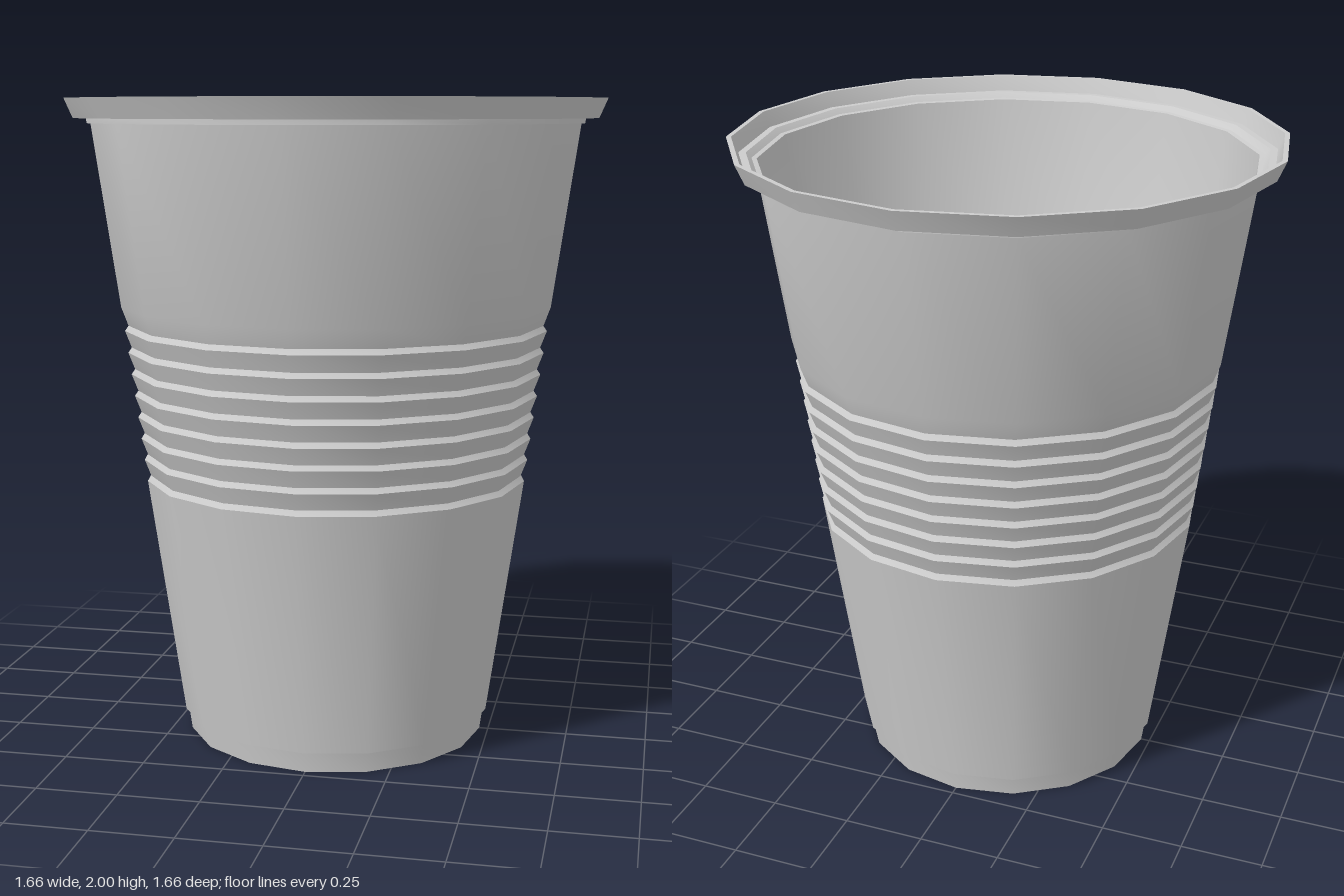
import * as THREE from 'three';
import { toCreasedNormals } from 'three/addons/utils/BufferGeometryUtils.js';

const SIDES = 16;
const WALL = 0.012;

// Saw-tooth grip rings, bottom to top: a sharp tip, then a small ledge inwards
function gripRings(inset) {
  const points = [];
  for (let i = 0; i < 8; i++) {
    const r = 0.6 + 0.0087 * i - inset;
    const y = 0.822 + 0.0677 * i;
    points.push([r, y], [r - 0.011, y + 0.016]);
  }
  return points;
}

export function createModel() {
  const group = new THREE.Group();
  group.name = 'disposableCup';
  const material = new THREE.MeshStandardMaterial({ color: 0xcccccc });

  // Outside: base, foot step, lower wall, grip rings, upper wall
  const outside = [
    [0, 0], [0.472, 0], [0.481, 0.064], [0.491, 0.066],
    ...gripRings(0),
    [0.671, 1.37], [0.75, 1.925],
  ];
  // Rim: underside step, flared lip, gutter behind the lip
  const rim = [
    [0.762, 1.925], [0.762, 1.94], [0.802, 1.94], [0.828, 2],
    [0.813, 2], [0.795, 1.953], [0.773, 1.953], [0.757, 1.937], [0.742, 1.935],
  ];
  // Inside: follows the outside wall down to the floor
  const inside = [
    [0.671 - WALL, 1.37],
    ...gripRings(WALL).reverse(),
    [0.479, 0.075], [0.468, 0.07], [0.459, 0.015], [0, 0.015],
  ];

  const profile = [...outside, ...rim, ...inside].map(([r, y]) => new THREE.Vector2(r, y));
  const cup = new THREE.Mesh(
    toCreasedNormals(new THREE.LatheGeometry(profile, SIDES), 0.48),
    material,
  );
  cup.name = 'cup';
  group.add(cup);
  return group;
}
